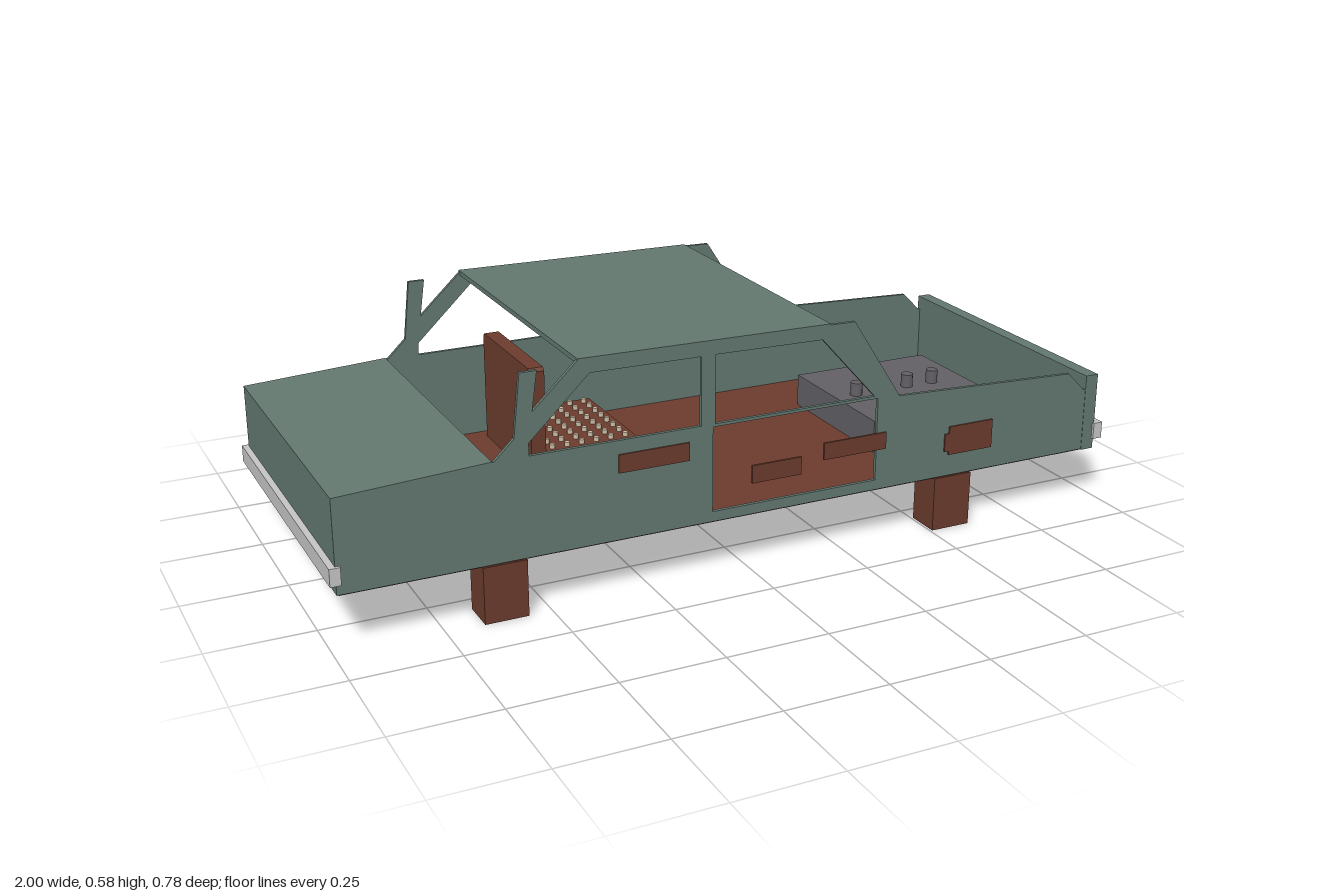
import * as THREE from 'three';

const mat = (name, color) => {
  const m = new THREE.MeshStandardMaterial({ color });
  m.name = name;
  return m;
};

export function createModel() {
  const car = new THREE.Group();
  car.name = 'strippedCar';
  const paint = mat('fadedGreenPaint', 0x62776f);
  const rust = mat('rust', 0x6b3b2d);
  const iron = mat('engineGrey', 0x626065);
  const chrome = mat('bumperGrey', 0xc4c4c4);
  const cream = mat('creamSpring', 0xcdbfa6);

  const add = (name, geometry, material, x = 0, y = 0, z = 0) => {
    const mesh = new THREE.Mesh(geometry, material);
    mesh.name = name;
    mesh.position.set(x, y, z);
    car.add(mesh);
    return mesh;
  };
  // Box given by its limits on each axis
  const box = (name, material, [x0, x1], [y0, y1], [z0, z1]) =>
    add(name, new THREE.BoxGeometry(x1 - x0, y1 - y0, z1 - z0), material,
      (x0 + x1) / 2, (y0 + y1) / 2, (z0 + z1) / 2);
  const vec = (pts) => pts.map(([x, y]) => new THREE.Vector2(x, y));
  // Outline in the side plane, extruded across the car
  const slab = (name, outline, holes, z0, z1) => {
    const shape = new THREE.Shape(vec(outline));
    holes.forEach((h) => shape.holes.push(new THREE.Path(vec(h))));
    const g = new THREE.ExtrudeGeometry(shape, { depth: z1 - z0, bevelEnabled: false });
    return add(name, g, paint, 0, 0, z0);
  };

  // Side panels with pillars, bent rear fins and window openings
  const outline = [
    [-0.985, 0.14], [0.95, 0.14], [0.95, 0.3], [0.94, 0.3], [0.89, 0.35], [0.395, 0.37],
    [0.265, 0.572], [-0.425, 0.583], [-0.535, 0.48], [-0.522, 0.572], [-0.562, 0.572],
    [-0.578, 0.425], [-0.625, 0.38], [-0.985, 0.36],
  ];
  const rearWindow = [[-0.545, 0.38], [-0.13, 0.38], [-0.13, 0.545], [-0.4, 0.548], [-0.545, 0.41]];
  const frontWindow = [[-0.095, 0.38], [0.325, 0.38], [0.18, 0.54], [-0.095, 0.545]];
  const doorway = [[-0.1, 0.165], [0.335, 0.165], [0.335, 0.373], [-0.1, 0.373]];
  slab('openSidePanel', outline, [rearWindow, frontWindow, doorway], 0.375, 0.384);
  slab('closedSidePanel', outline, [rearWindow, frontWindow], -0.384, -0.375);

  // Roof and boot lid
  slab('roof', [[-0.428, 0.572], [0.2, 0.564], [0.2, 0.576], [-0.428, 0.584]], [], -0.384, 0.384);
  slab('bootLid', [[-0.985, 0.352], [-0.63, 0.371], [-0.63, 0.381], [-0.985, 0.362]], [], -0.384, 0.384);

  // End walls, floor and bumpers
  box('frontWall', paint, [0.945, 0.98], [0.138, 0.336], [-0.385, 0.385]);
  box('rearWall', paint, [-0.985, -0.975], [0.14, 0.36], [-0.384, 0.384]);
  box('floor', rust, [-0.98, 0.945], [0.137, 0.147], [-0.38, 0.38]);
  for (const s of [-1, 1]) {
    box('bumper', chrome, s > 0 ? [0.975, 1] : [-1, -0.975], [0.165, 0.207], [-0.392, 0.392]);
  }

  // Support blocks
  for (const x of [-0.608, 0.558]) {
    for (const z of [-0.342, 0.342]) {
      add('supportBlock', new THREE.BoxGeometry(0.104, 0.137, 0.087), rust, x, 0.0685, z);
    }
  }

  // Engine block with a row of studs
  box('engineBlock', iron, [0.45, 0.84], [0.147, 0.23], [-0.2, 0.19]);
  for (let i = 0; i < 4; i++) {
    add('engineStud', new THREE.CylinderGeometry(0.016, 0.016, 0.035, 10), iron, 0.511 + i * 0.077, 0.247, 0);
  }

  // Single seat with exposed springs
  box('seatCushion', rust, [-0.35, -0.1], [0.147, 0.205], [-0.34, -0.025]);
  const back = new THREE.Shape(vec([
    [-0.34, 0.147], [-0.022, 0.147], [-0.022, 0.418], [-0.03, 0.426], [-0.332, 0.426], [-0.34, 0.418],
  ]));
  const backGeo = new THREE.ExtrudeGeometry(back, { depth: 0.038, bevelEnabled: false });
  backGeo.rotateY(-Math.PI / 2);
  add('seatBack', backGeo, rust, -0.347, 0, 0);
  const springGeo = new THREE.CylinderGeometry(0.007, 0.007, 0.012, 6);
  for (let i = 0; i < 6; i++) {
    for (let j = 0; j < 8; j++) {
      add('seatSpring', springGeo, cream, -0.32 + i * 0.039, 0.21, -0.316 + j * 0.038);
    }
  }

  // Rust patches: [x0, x1, y0, y1]
  const patches = (list, z) => list.forEach(([x0, x1, y0, y1]) =>
    box('rustPatch', rust, [x0, x1], [y0, y1], [z - 0.003, z + 0.003]));
  patches([
    [-0.335, -0.16, 0.303, 0.347], [0, 0.13, 0.218, 0.262], [0.19, 0.36, 0.243, 0.285],
    [0.54, 0.665, 0.195, 0.268], [0.528, 0.54, 0.205, 0.25],
  ], 0.385);
  patches([
    [0.7, 0.82, 0.185, 0.255], [0.34, 0.5, 0.278, 0.32], [0.13, 0.285, 0.265, 0.308],
    [-0.165, -0.04, 0.305, 0.375], [-0.25, -0.12, 0.255, 0.295],
  ], -0.385);

  return car;
}
